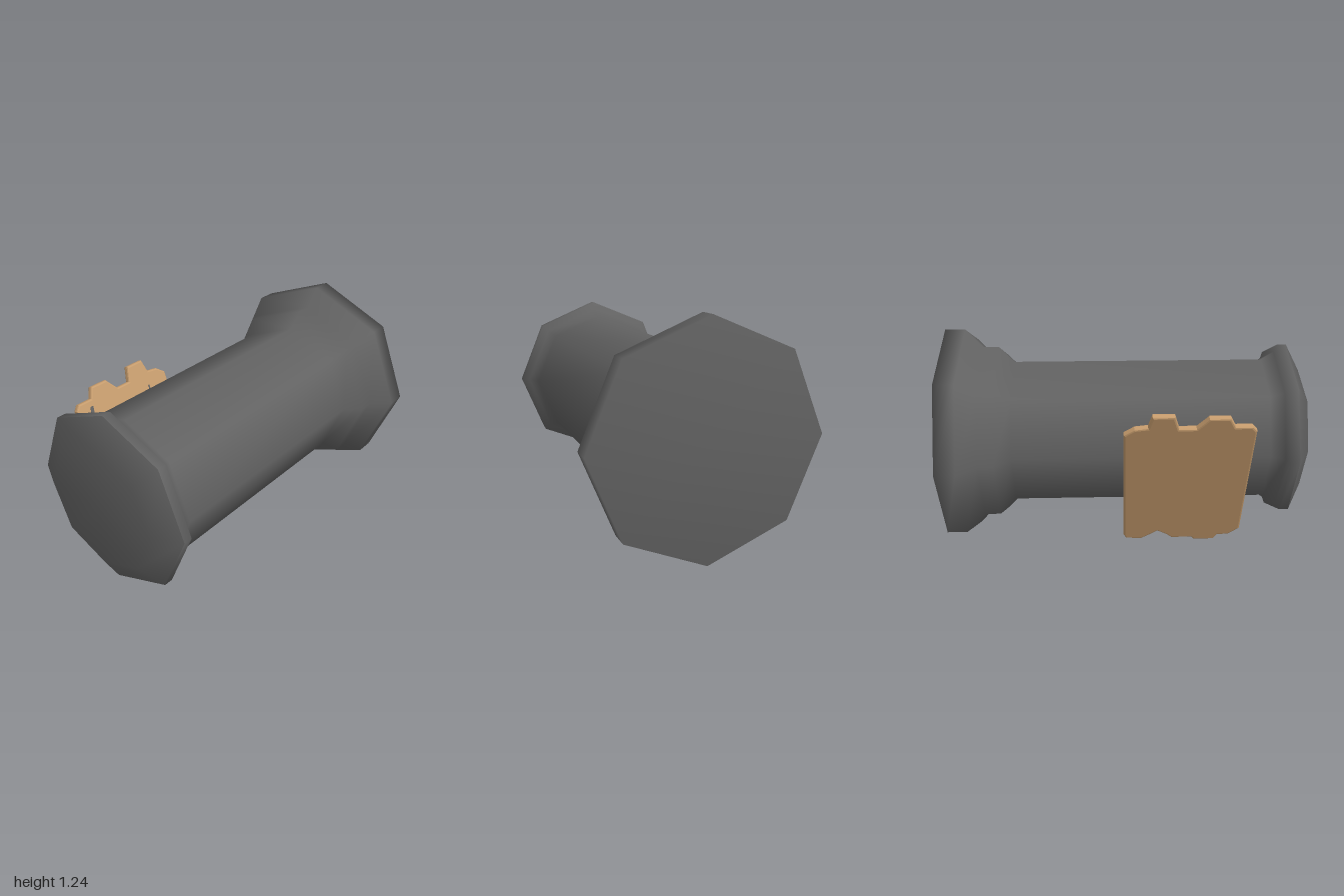
import * as THREE from 'three';

const stone = new THREE.MeshStandardMaterial({ color: 0x626262 });
stone.name = 'darkStone';
const wood = new THREE.MeshStandardMaterial({ color: 0xc69c6d });
wood.name = 'wood';

const AXIS_Y = 0.64;
const TILT = Math.PI / 8; // the plank lies flat on one of the eight sides

const toShape = (points) => new THREE.Shape(points.map(([x, y]) => new THREE.Vector2(x, y)));

function addMesh(parent, name, geometry, material) {
  const mesh = new THREE.Mesh(geometry, material);
  mesh.name = name;
  parent.add(mesh);
  return mesh;
}

// Eight-sided turned part along z, from [z, radius] pairs
function turned(profile) {
  const points = profile.map(([z, r]) => new THREE.Vector2(r, z));
  return new THREE.LatheGeometry(points, 8).rotateX(Math.PI / 2).translate(0, AXIS_Y, 0);
}

export function createModel() {
  const model = new THREE.Group();
  model.name = 'fallenColumn';

  // Column: flared base at the back, stepped collar, shaft and front collar
  addMesh(model, 'columnShaft', turned([
    [-1, 0], [-1, 0.61], [-0.89, 0.61], [-0.795, 0.508], [-0.71, 0.508],
    [-0.625, 0.42], [0.78, 0.42], [0.85, 0.465], [0.867, 0.508], [0.917, 0.508],
  ]), stone);
  addMesh(model, 'columnCap', turned([[0.917, 0.508], [1, 0.355], [1, 0]]), stone);

  // Plank frame: x runs along the column, y up the slope, z away from the column
  const plank = new THREE.Group();
  plank.name = 'plank';
  const up = new THREE.Vector3(-Math.sin(TILT), Math.cos(TILT), 0);
  const out = new THREE.Vector3(-Math.cos(TILT), -Math.sin(TILT), 0);
  plank.quaternion.setFromRotationMatrix(
    new THREE.Matrix4().makeBasis(new THREE.Vector3(0, 0, 1), up, out));
  plank.position.set(0, AXIS_Y, 0).addScaledVector(out, 0.4);
  model.add(plank);

  // Board with splintered ends
  const outline = [
    [-0.015, -0.46], [0, -0.49], [0.09, -0.495], [0.12, -0.475], [0.185, -0.425],
    [0.24, -0.46], [0.27, -0.49], [0.39, -0.49], [0.405, -0.51], [0.525, -0.51],
    [0.545, -0.47], [0.61, -0.465], [0.67, -0.41],
    [0.665, 0.40], [0.64, 0.43], [0.55, 0.43], [0.52, 0.49], [0.41, 0.49],
    [0.385, 0.46], [0.35, 0.42], [0.26, 0.42], [0.235, 0.505], [0.12, 0.505],
    [0.1, 0.43], [0.03, 0.42], [-0.025, 0.38],
  ];
  addMesh(plank, 'board', new THREE.ExtrudeGeometry(toShape(outline), {
    depth: 0.018, bevelEnabled: true, bevelThickness: 0.009,
    bevelSize: 0.01, bevelOffset: -0.01, bevelSegments: 2,
  }).translate(0, 0, 0.009), wood);

  // Cracks on the side facing the column
  const cracks = [
    [[0.335, -0.27], [0.332, -0.4], [0.308, -0.485], [0.335, -0.485], [0.347, -0.4], [0.347, -0.27]],
    [[0.565, 0.13], [0.57, 0.3], [0.555, 0.39], [0.575, 0.39], [0.598, 0.3], [0.59, 0.13]],
    [[0.125, 0.12], [0.125, 0.35], [0.135, 0.35], [0.137, 0.12]],
    [[0.575, -0.27], [0.58, -0.325], [0.586, -0.27]],
  ];
  for (const points of cracks) {
    addMesh(plank, 'crack', new THREE.ExtrudeGeometry(toShape(points), {
      depth: 0.004, bevelEnabled: false,
    }).translate(0, 0, -0.002), stone);
  }
  return model;
}
